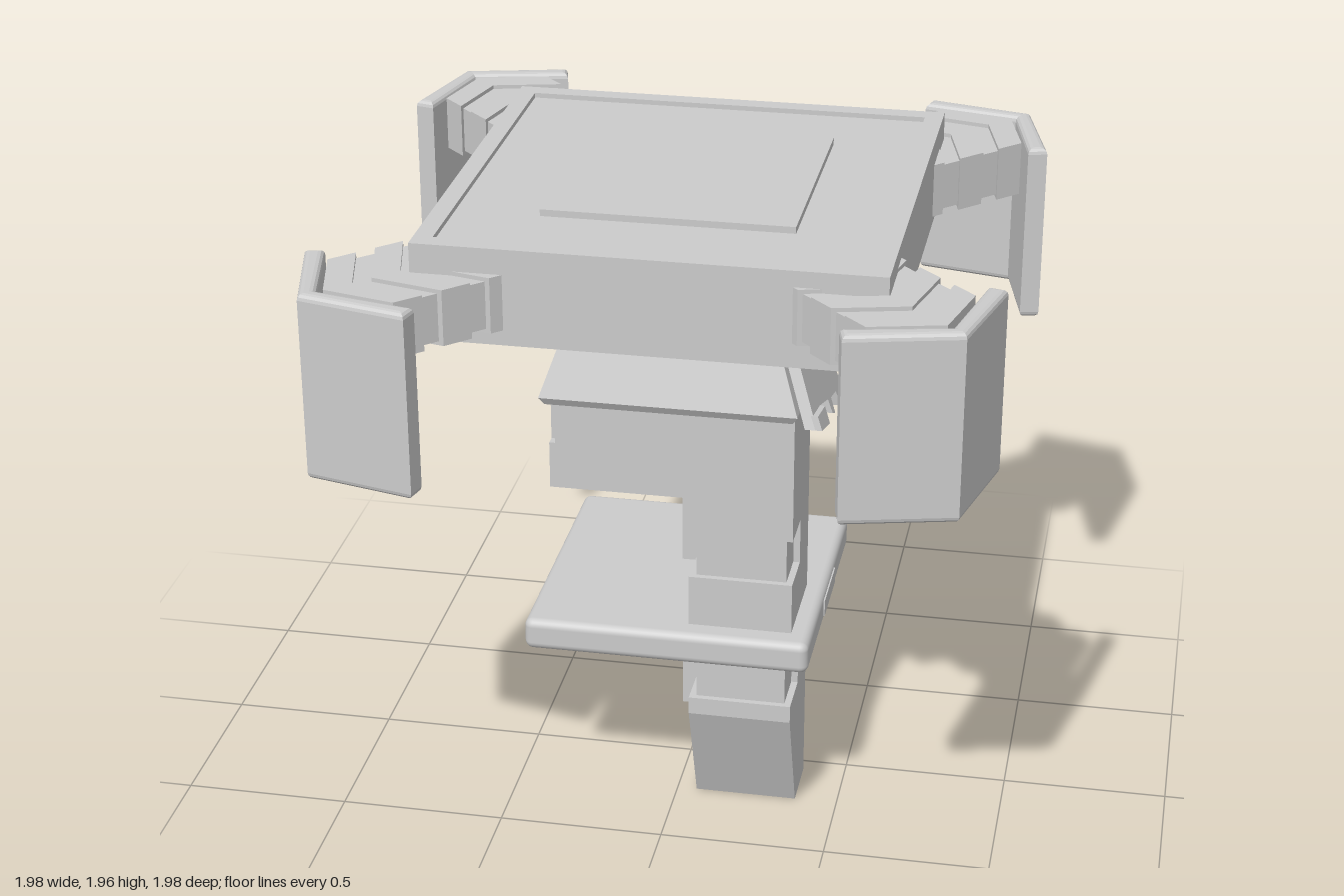
import * as THREE from 'three';
import { RoundedBoxGeometry } from 'three/addons/geometries/RoundedBoxGeometry.js';

const material = new THREE.MeshStandardMaterial({ color: 0xcccccc, flatShading: true });
const smooth = new THREE.MeshStandardMaterial({ color: 0xcccccc });

function add(parent, name, geometry, mat = material) {
  const mesh = new THREE.Mesh(geometry, mat);
  mesh.name = name;
  parent.add(mesh);
  return mesh;
}

// Box given by its minimum and maximum on each axis
function box(parent, name, x0, x1, y0, y1, z0, z1) {
  const g = new THREE.BoxGeometry(x1 - x0, y1 - y0, z1 - z0);
  g.translate((x0 + x1) / 2, (y0 + y1) / 2, (z0 + z1) / 2);
  return add(parent, name, g);
}

const toShape = (pts) => new THREE.Shape(pts.map(([a, b]) => new THREE.Vector2(a, b)));
const square = (h) => [[-h, -h], [h, -h], [h, h], [-h, h]];

// Outline in (x, z) raised from y0 to y1, with optional rounded edges
function slab(pts, y0, y1, bevel = 0, hole = null) {
  const shape = toShape(pts.map(([x, z]) => [x, -z]));
  if (hole) shape.holes.push(toShape(hole));
  const g = new THREE.ExtrudeGeometry(shape, {
    depth: y1 - y0 - 2 * bevel, bevelEnabled: bevel > 0, bevelSize: bevel,
    bevelThickness: bevel, bevelOffset: -bevel, bevelSegments: 3,
  });
  return g.rotateX(-Math.PI / 2).translate(0, y0 + bevel, 0);
}

// Outline in (z, y) given thickness along x; holes are outlines too
function sidePlate(pts, x0, x1, holes = []) {
  const flip = (list) => toShape(list.map(([z, y]) => [-z, y]));
  const shape = flip(pts);
  holes.forEach((h) => shape.holes.push(flip(h)));
  const g = new THREE.ExtrudeGeometry(shape, { depth: x1 - x0, bevelEnabled: false });
  return g.rotateY(Math.PI / 2).translate(x0, 0, 0);
}

// Lean a side plate outward as it goes down
function lean(g, topY, slope) {
  const p = g.attributes.position;
  for (let i = 0; i < p.count; i++) p.setX(i, p.getX(i) + (topY - p.getY(i)) * slope);
  g.computeVertexNormals();
  return g;
}

// Four-sided tapered tier
function tier(parent, name, halfTop, halfBottom, y0, y1) {
  const r = Math.SQRT2;
  const g = new THREE.CylinderGeometry(halfTop * r, halfBottom * r, y1 - y0, 4);
  g.rotateY(Math.PI / 4).translate(0, (y0 + y1) / 2, 0);
  add(parent, name, g);
}

// V-shaped outline pointing to +z
function chevron(apex, halfWidth, thick) {
  const drop = 0.61 * halfWidth;
  return [[0, apex], [-halfWidth, apex - drop], [-halfWidth, apex - drop - thick],
    [0, apex - thick], [halfWidth, apex - drop - thick], [halfWidth, apex - drop]];
}

function platform() {
  const g = new THREE.Group();
  g.name = 'platform';
  box(g, 'deck', -0.665, 0.665, 1.69, 1.94, -0.665, 0.665);
  add(g, 'topRim', slab(square(0.665), 1.94, 1.955, 0, square(0.61)));
  add(g, 'bottomRim', slab(square(0.655), 1.665, 1.69, 0, square(0.59)));
  box(g, 'centrePad', -0.365, 0.365, 1.93, 1.96, -0.365, 0.365);
  return g;
}

// Stepped arm with a bent shield at its end, along +z
function cornerArm(lift, reach) {
  const g = new THREE.Group();
  g.name = 'cornerArm';
  for (let i = 0; i < 5; i++) {
    const odd = i % 2;
    const y0 = 1.715 + lift + odd * 0.012;
    const y1 = 1.88 + lift - odd * 0.012;
    add(g, 'armSegment', slab(chevron(1.19 - i * 0.075 + reach, 0.185 - odd * 0.012, 0.09), y0, y1));
  }
  // Shield with ends cut square to its wings
  const s = [[0, 1.27], [-0.28, 1.1], [-0.25, 1.05], [0, 1.21], [0.25, 1.05], [0.28, 1.1]];
  add(g, 'shield', slab(s.map(([w, d]) => [w, d + reach]), 1.33 + lift, 1.885 + lift, 0.018));
  return g;
}

// Leg with a sloped foot; notches step inward around its outer corners.
// dir is +1 when the sloped side faces front and -1 when it faces back.
function leg(name, { x0, x1, inner, outer, toe, foot, ankle, top, notches, notchDepth, dir }) {
  const g = new THREE.Group();
  g.name = name;
  const pts = [[inner, foot], [toe, foot], [outer, ankle]];
  for (const [a, b] of notches) {
    pts.push([outer, a], [outer - notchDepth, a], [outer - notchDepth, b], [outer, b]);
    const zs = [dir * (outer - notchDepth - 0.02), dir * (outer - 0.018)].sort((m, n) => m - n);
    box(g, 'notchCore', x0 + 0.02, x1 - 0.02, a - 0.01, b + 0.01, zs[0], zs[1]);
  }
  pts.push([outer, top], [inner, top]);
  add(g, 'shaft', sidePlate(pts.map(([z, y]) => [dir * z, y]), x0, x1));
  return g;
}

export function createModel() {
  const model = new THREE.Group();
  model.name = 'platformOnLegs';
  model.add(platform());

  // Corner arms, from front left round to back left
  for (let i = 0; i < 4; i++) {
    const arm = cornerArm(i % 2 ? 0 : 0.027, i === 0 ? 0 : 0.018);
    arm.rotation.y = Math.PI / 4 - i * Math.PI / 2;
    model.add(arm);
  }

  // Tapered tiers under the platform
  const neck = new THREE.Group();
  neck.name = 'neck';
  tier(neck, 'upperTier', 0.305, 0.37, 1.54, 1.68);
  tier(neck, 'lowerTier', 0.325, 0.38, 1.38, 1.54);
  tier(neck, 'lowerLip', 0.38, 0.365, 1.355, 1.38);
  model.add(neck);

  // Leaning side plates
  const hanging = [[0.355, 1.67], [0.447, 1.38], [0.345, 1.358], [0.334, 1.406], [0.233, 1.38],
    [0.233, 1.337], [0.206, 1.326], [0.195, 1.369], [0.126, 1.358], [0.12, 1.31], [0.05, 1.294], [0.024, 1.67]];
  add(model, 'hangingPlate', lean(sidePlate(hanging, 0.31, 0.345), 1.67, 0.35));
  const ragged = [[0.447, 1.38], [0.345, 1.358], [0.334, 1.406], [0.44, 1.42]];
  add(model, 'hangingPlateLip', lean(sidePlate(ragged, 0.34, 0.36), 1.67, 0.35));
  const windows = [
    [[0.02, 1.605], [-0.04, 1.6], [-0.04, 1.645], [0.02, 1.65]],
    [[-0.23, 1.605], [-0.3, 1.595], [-0.31, 1.625], [-0.24, 1.633]],
  ];
  const cover = [[0.165, 1.665], [0.175, 1.602], [-0.365, 1.54], [-0.315, 1.665]];
  add(model, 'windowPlate', lean(sidePlate(cover, 0.325, 0.352, windows), 1.67, 0.35));

  // Hip block with a step on the left side
  const hip = new THREE.Group();
  hip.name = 'hipBlock';
  box(hip, 'upperHip', -0.345, 0.345, 1.215, 1.36, -0.335, 0.33);
  box(hip, 'lowerHip', -0.362, 0.262, 1.07, 1.215, -0.335, 0.33);
  box(hip, 'hipSide', -0.362, -0.3, 1.2, 1.355, -0.335, 0.3);
  model.add(hip);

  // Two legs
  model.add(leg('frontLeg', { x0: 0.06, x1: 0.37, inner: 0.05, outer: 0.36, toe: 0.225, foot: 0,
    ankle: 0.355, top: 1.37, notches: [[0.41, 0.545], [0.825, 0.97]], notchDepth: 0.15, dir: 1 }));
  model.add(leg('backLeg', { x0: -0.035, x1: 0.27, inner: 0.042, outer: 0.327, toe: 0.205, foot: 0.15,
    ankle: 0.395, top: 1.215, notches: [[0.425, 0.52], [0.71, 0.81]], notchDepth: 0.135, dir: -1 }));

  // Square plate around the legs
  const plate = add(model, 'legPlate', new RoundedBoxGeometry(0.86, 0.1, 0.86, 3, 0.025), smooth);
  plate.position.y = 0.615;
  box(model, 'plateInset', 0.42, 0.434, 0.59, 0.642, -0.115, 0.105);

  return model;
}
